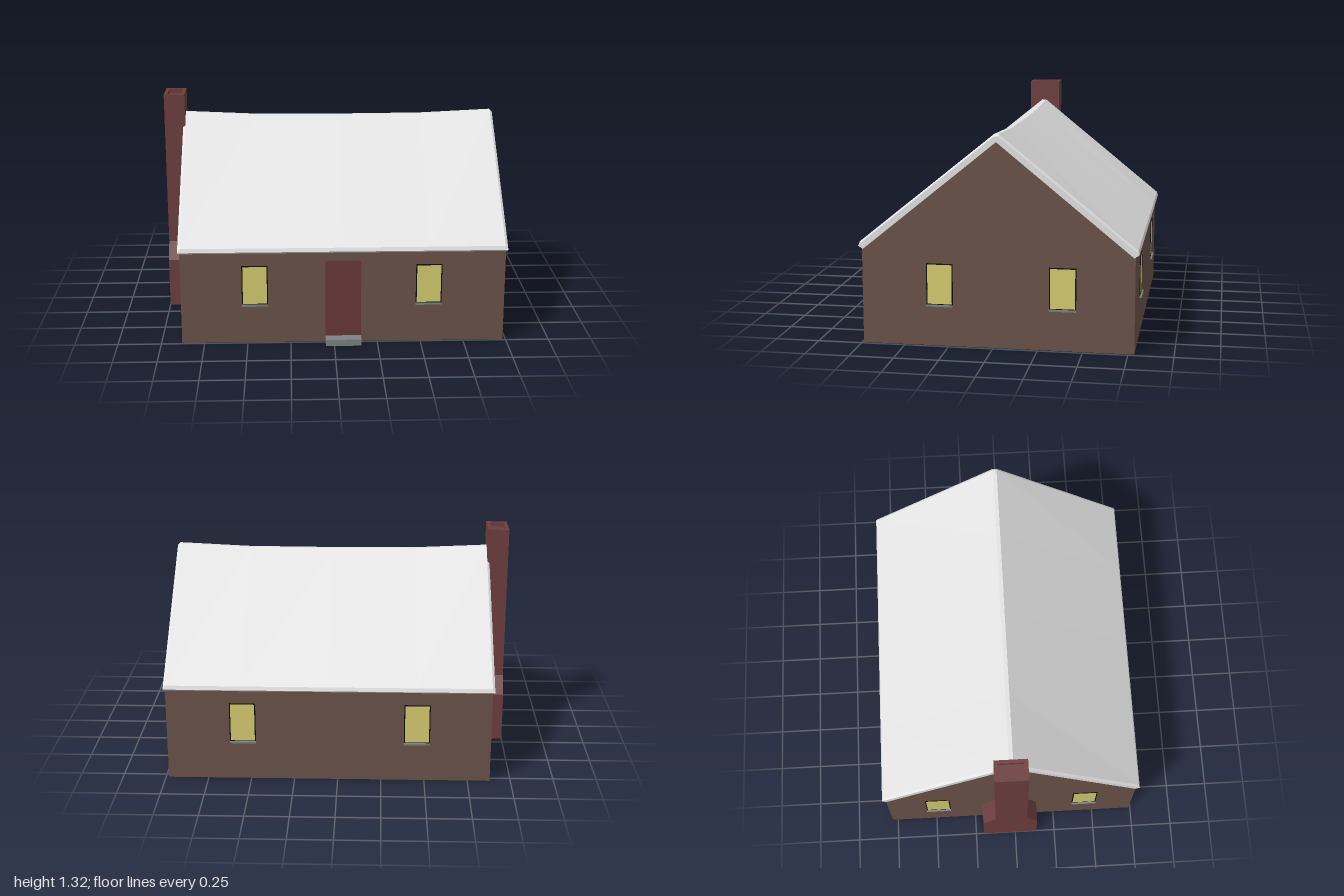
import * as THREE from 'three';

const mat = (name, color, side = THREE.FrontSide) => {
  const m = new THREE.MeshStandardMaterial({ color, side });
  m.name = name;
  return m;
};

const CZ = -0.022;               // centre line of the house in z
const X0 = -0.88, X1 = 0.983;    // gable walls
const HALF = 0.762;              // half depth of the house
const EAVE = 0.545, APEX = 1.16;

function rectPath(Type, x0, y0, x1, y1) {
  const p = new Type();
  p.moveTo(x0, y0);
  p.lineTo(x1, y0);
  p.lineTo(x1, y1);
  p.lineTo(x0, y1);
  p.closePath();
  return p;
}

// Roof shell lofted along x, with a sagging ridge and bevelled ends
function roofGeometry() {
  const half = [[0.755, 0.54], [0.782, 0.558], [0.775, 0.58], [0.012, 1.2]];
  const ring = [[0, 1.157], ...half, ...half.slice().reverse().map(([z, y]) => [-z, y])];
  // x, ridge sag, edge inset
  const stations = [[-0.89, 0.002, 0.012], [-0.876, 0.002, 0], [-0.45, 0.022, 0], [0.05, 0.025, 0],
    [0.55, 0.022, 0], [0.978, 0.002, 0], [0.992, 0.002, 0.012]];
  const n = ring.length, pos = [], idx = [];
  stations.forEach(([x, sag, inset]) => ring.forEach(([z, y], i) => {
    const drop = sag * Math.max(0, (y - 0.56) / 0.64);
    const outer = i >= 3 && i <= 6 ? inset : 0;
    pos.push(x, y - drop - outer, z + CZ);
  }));
  for (let s = 0; s < stations.length - 1; s++) {
    for (let i = 0; i < n; i++) {
      const a = s * n + i, b = s * n + (i + 1) % n, c = b + n, d = a + n;
      idx.push(a, d, c, a, c, b);
    }
  }
  const e = (stations.length - 1) * n;
  for (let i = 1; i < n - 1; i++) idx.push(0, i, i + 1, e, e + i + 1, e + i);
  const g = new THREE.BufferGeometry();
  g.setAttribute('position', new THREE.Float32BufferAttribute(pos, 3));
  g.setIndex(idx);
  const flat = g.toNonIndexed();
  flat.computeVertexNormals();
  return flat;
}

export function createModel() {
  const house = new THREE.Group();
  house.name = 'cottage';
  const wallMat = mat('brown wall', 0x6a534a, THREE.DoubleSide);
  const roofMat = mat('pale roof', 0xe4e4e4);
  const brickMat = mat('red brick', 0x6e3f3f);
  const doorMat = mat('red door', 0x693838);
  const paneMat = mat('yellow window', 0xd6cd70);
  const frameMat = mat('black frame', 0x0c0c0c);
  const stoneMat = mat('grey stone', 0x7e8283);

  const add = (name, geo, material, x = 0, y = 0, z = 0, parent = house) => {
    const m = new THREE.Mesh(geo, material);
    m.name = name;
    m.position.set(x, y, z);
    parent.add(m);
    return m;
  };

  // Walls: open shell without a floor
  const midX = (X0 + X1) / 2;
  const longWall = new THREE.PlaneGeometry(X1 - X0, EAVE);
  add('frontWall', longWall, wallMat, midX, EAVE / 2, CZ + HALF);
  add('backWall', longWall, wallMat, midX, EAVE / 2, CZ - HALF).rotation.y = Math.PI;
  const gable = new THREE.ShapeGeometry(new THREE.Shape([
    [-HALF, 0], [HALF, 0], [HALF, EAVE], [0, APEX], [-HALF, EAVE],
  ].map(([x, y]) => new THREE.Vector2(x, y))));
  add('leftGable', gable, wallMat, X1, 0, CZ).rotation.y = Math.PI / 2;
  add('rightGable', gable, wallMat, X0, 0, CZ).rotation.y = -Math.PI / 2;

  add('roof', roofGeometry(), roofMat);

  // Door and step
  add('door', new THREE.BoxGeometry(0.205, 0.46, 0.006), doorMat, 0.053, 0.265, CZ + HALF + 0.001);
  add('doorStep', new THREE.BoxGeometry(0.205, 0.038, 0.072), stoneMat, 0.053, 0.019, 0.774);

  // Windows: pane, thin frame through the wall, and sill
  const W = 0.075, H = 0.118, T = 0.006;
  const frameShape = rectPath(THREE.Shape, -W, -H, W, H);
  frameShape.holes.push(rectPath(THREE.Path, -W + T, -H + T, W - T, H - T));
  const frameGeo = new THREE.ExtrudeGeometry(frameShape, { depth: 0.013, bevelEnabled: false });
  const paneGeo = new THREE.PlaneGeometry(2 * W - T, 2 * H - T);
  const sillGeo = new THREE.BoxGeometry(2 * W, 0.01, 0.016);
  const addWindow = (x, z, turn) => {
    const w = new THREE.Group();
    w.name = 'window';
    w.position.set(x, 0.352, z);
    w.rotation.y = turn;
    add('windowFrame', frameGeo, frameMat, 0, 0, -0.009, w);
    add('windowPane', paneGeo, paneMat, 0, 0, 0.003, w);
    add('windowSill', sillGeo, stoneMat, 0, -H - 0.003, 0.006, w);
    house.add(w);
  };
  for (const x of [-0.455, 0.545]) {
    addWindow(x, CZ + HALF, 0);
    addWindow(x, CZ - HALF, Math.PI);
  }
  for (const z of [0.3, -0.388]) addWindow(X1, z, Math.PI / 2);
  for (const z of [0.435, -0.475]) addWindow(X0, z, -Math.PI / 2);

  // Chimney with sloped shoulders, extruded along x
  const chimney = new THREE.Group();
  chimney.name = 'chimney';
  house.add(chimney);
  const stack = new THREE.Shape([
    [-0.135, 0], [0.2, 0], [0.2, 0.295], [0.122, 0.395], [0.122, 1.295],
    [-0.07, 1.295], [-0.07, 0.395], [-0.135, 0.295],
  ].map(([x, y]) => new THREE.Vector2(x, y)));
  const stackGeo = new THREE.ExtrudeGeometry(stack, { depth: 0.123, bevelEnabled: false });
  stackGeo.rotateY(Math.PI / 2); // shape x becomes -z, depth becomes +x
  add('chimneyStack', stackGeo, brickMat, -1, 0, 0, chimney);

  // Hollow rim on top
  const rim = rectPath(THREE.Shape, -1, -0.07, -0.877, 0.122);
  rim.holes.push(rectPath(THREE.Path, -0.98, -0.045, -0.897, 0.102));
  const rimGeo = new THREE.ExtrudeGeometry(rim, { depth: 0.027, bevelEnabled: false });
  rimGeo.rotateX(-Math.PI / 2);
  add('chimneyRim', rimGeo, brickMat, 0, 1.295, 0, chimney);

  return house;
}
